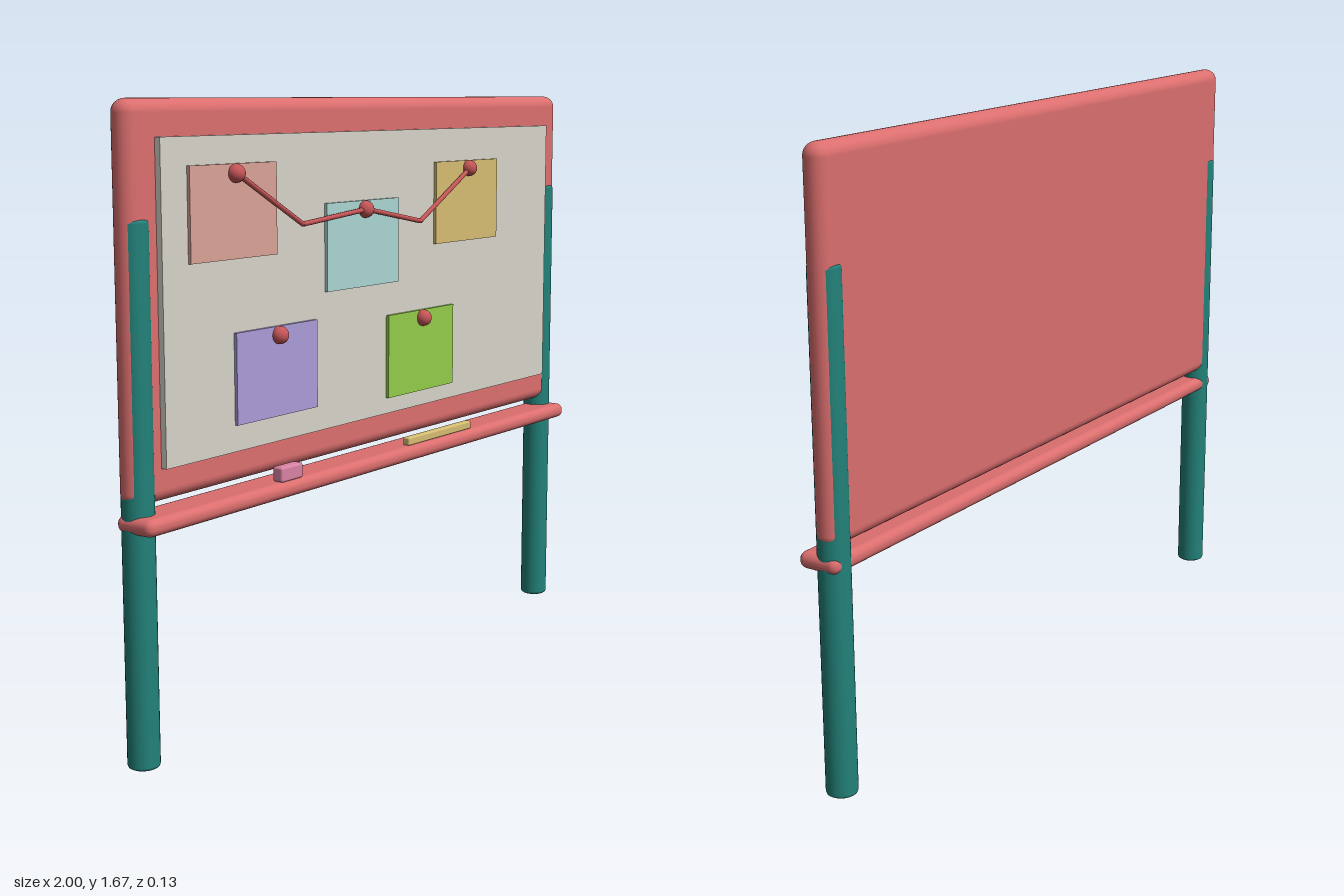
import * as THREE from 'three';
import { RoundedBoxGeometry } from 'three/addons/geometries/RoundedBoxGeometry.js';

const mat = (name, color) => {
  const m = new THREE.MeshStandardMaterial({ color });
  m.name = name;
  return m;
};

export function createModel() {
  const root = new THREE.Group();
  root.name = 'noticeBoard';
  const coral = mat('coral', 0xdb6e6e);
  const teal = mat('teal', 0x23827a);
  const cork = mat('warm grey', 0xd7d3c8);
  const pinRed = mat('pin red', 0xc65658);
  const rose = mat('dusty rose', 0xd9a397);
  const aqua = mat('aqua', 0xaad6d2);
  const sand = mat('sand yellow', 0xd6bd72);
  const lilac = mat('lilac', 0xab9bd8);
  const green = mat('leaf green', 0x93cb4a);
  const pink = mat('pink', 0xd983a4);

  const add = (name, geometry, material, x, y, z) => {
    const mesh = new THREE.Mesh(geometry, material);
    mesh.name = name;
    mesh.position.set(x, y, z);
    root.add(mesh);
    return mesh;
  };
  const rounded = (w, h, d, r) => new RoundedBoxGeometry(w, h, d, 5, r);

  // Board, pinning surface and tray
  add('boardFrame', rounded(2, 0.99, 0.07, 0.034), coral, 0, 1.172, -0.023);
  add('boardPanel', new THREE.BoxGeometry(1.81, 0.81, 0.022), cork, 0, 1.17, 0.018);
  add('tray', rounded(2, 0.045, 0.12, 0.021), coral, 0, 0.633, 0);

  // Round legs with softened ends, sunk into the sides of the frame
  const legProfile = [[0, 0], [0.035, 0], [0.04, 0.003], [0.042, 0.009],
    [0.042, 1.371], [0.04, 1.377], [0.035, 1.38], [0, 1.38]].map(([x, y]) => new THREE.Vector2(x, y));
  const legGeometry = new THREE.LatheGeometry(legProfile, 32);
  for (const [name, side] of [['rightLeg', -1], ['leftLeg', 1]])
    add(name, legGeometry, teal, side * 0.956, 0, -0.022);

  // Paper notes
  const noteGeometry = new THREE.BoxGeometry(0.334, 0.24, 0.009);
  [['roseNote', rose, -0.645, 1.384], ['aquaNote', aqua, -0.098, 1.265],
    ['yellowNote', sand, 0.427, 1.359], ['lilacNote', lilac, -0.478, 0.955],
    ['greenNote', green, 0.188, 0.931]].forEach(([name, m, x, y]) => add(name, noteGeometry, m, x, y, 0.0335));

  // Ball pins
  const pinGeometry = new THREE.SphereGeometry(0.024, 24, 16);
  [[-0.645, 1.48], [-0.098, 1.361], [0.427, 1.456], [-0.478, 1.052], [0.188, 1.028]]
    .forEach(([x, y], i) => add('pin' + (i + 1), pinGeometry, pinRed, x, y, 0.044));

  // String running straight between the upper pins
  const knots = [[-0.645, 1.48], [-0.382, 1.337], [-0.098, 1.361], [0.165, 1.313], [0.427, 1.456]]
    .map(([x, y]) => new THREE.Vector3(x, y, 0.047));
  const up = new THREE.Vector3(0, 1, 0);
  for (let i = 0; i < knots.length - 1; i++) {
    const dir = knots[i + 1].clone().sub(knots[i]);
    const mid = knots[i].clone().addScaledVector(dir, 0.5);
    const part = add('string' + (i + 1), new THREE.CylinderGeometry(0.007, 0.007, dir.length(), 10),
      pinRed, mid.x, mid.y, mid.z);
    part.quaternion.setFromUnitVectors(up, dir.normalize());
  }

  // Things lying on the tray
  add('eraser', rounded(0.09, 0.042, 0.034, 0.007), pink, -0.435, 0.675, 0.032);
  add('chalkStick', rounded(0.334, 0.024, 0.024, 0.005), sand, 0.284, 0.667, 0.032);

  return root;
}
